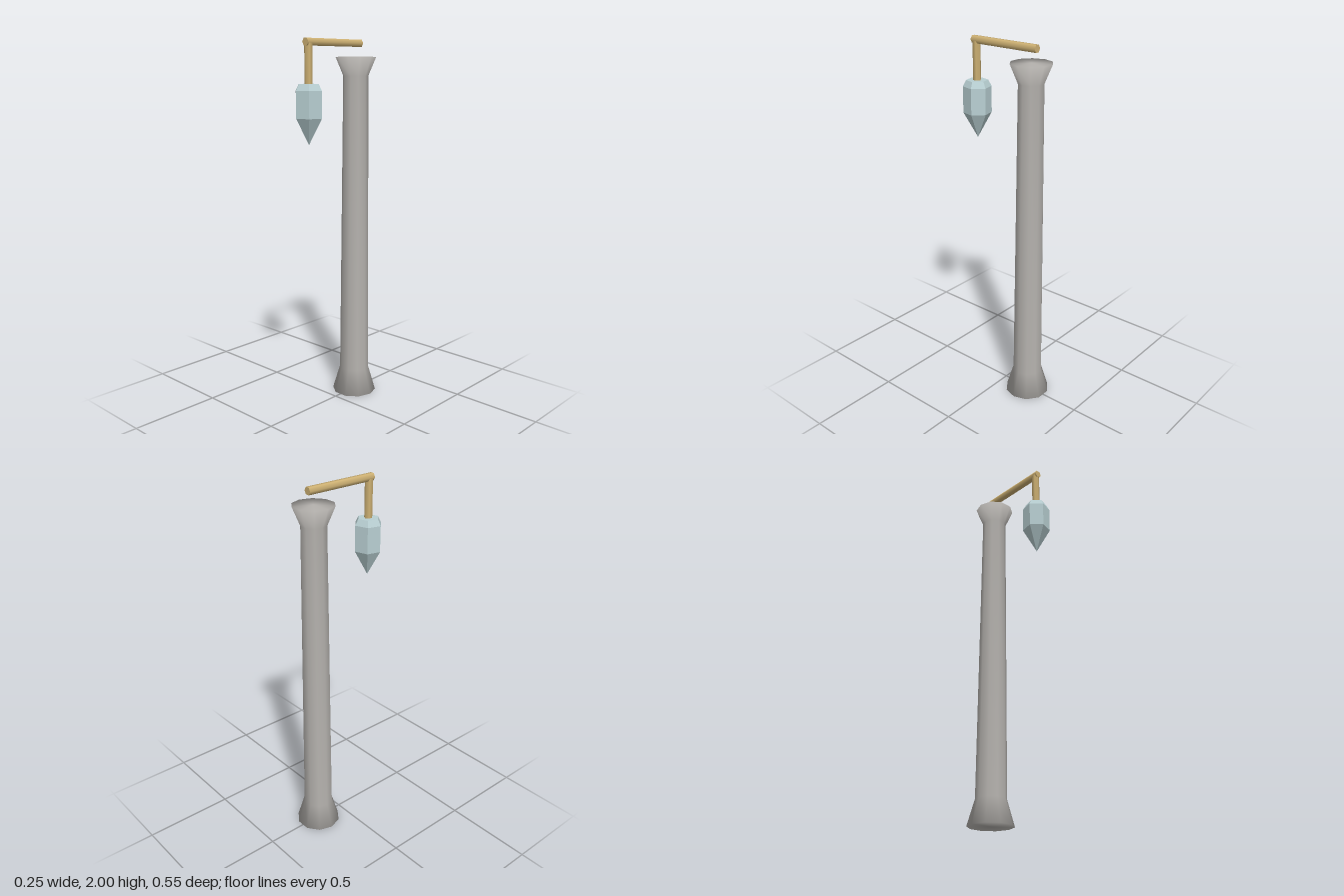
import * as THREE from 'three';
import { mergeVertices } from 'three/addons/utils/BufferGeometryUtils.js';

const stone = new THREE.MeshStandardMaterial({ color: 0xb5b2ae });
stone.name = 'stone';
const brass = new THREE.MeshStandardMaterial({ color: 0xcfb274 });
brass.name = 'brass';
const crystal = new THREE.MeshStandardMaterial({ color: 0xb9d0d3 });
crystal.name = 'paleCrystal';

// Closed lathe: profile points are [radius, height], bottom to top
function turned(points, sides, start) {
  return new THREE.LatheGeometry(points.map(([r, y]) => new THREE.Vector2(r, y)), sides, start);
}

// Weld the seams so that shading runs smoothly over every edge
function smooth(geometry) {
  geometry.deleteAttribute('uv');
  geometry.deleteAttribute('normal');
  const welded = mergeVertices(geometry, 1e-4);
  welded.computeVertexNormals();
  return welded;
}

// Low-poly facets
function faceted(geometry) {
  const flat = geometry.toNonIndexed();
  flat.computeVertexNormals();
  return flat;
}

export function createModel() {
  const model = new THREE.Group();
  model.name = 'hangingCrystalLamp';

  function add(name, geometry, material, x, y, z) {
    const mesh = new THREE.Mesh(geometry, material);
    mesh.name = name;
    mesh.position.set(x, y, z);
    model.add(mesh);
    return mesh;
  }

  // Ten-sided post with flared foot and head
  const postProfile = [[0, 0], [0.124, 0], [0.083, 0.14], [0.068, 1.81], [0.11, 1.91], [0, 1.91]];
  add('post', smooth(turned(postProfile, 10, Math.PI / 10)), stone, 0, 0, -0.16);

  // Six-sided arm and hanger rods
  const rod = (length) => new THREE.CylinderGeometry(0.0215, 0.0215, length, 6);
  const armGeometry = rod(0.417).rotateY(Math.PI / 6).rotateX(Math.PI / 2);
  add('arm', armGeometry, brass, 0, 1.9814, 0.0135);
  add('hanger', rod(0.22), brass, 0, 1.87, 0.2);

  // Pointed six-sided crystal
  const crystalProfile = [[0, 1.463], [0.0755, 1.6], [0.0755, 1.74], [0.058, 1.773], [0, 1.773]];
  const crystalStart = THREE.MathUtils.degToRad(-13.5);
  add('crystal', faceted(turned(crystalProfile, 6, crystalStart)), crystal, 0, 0, 0.2);

  return model;
}
